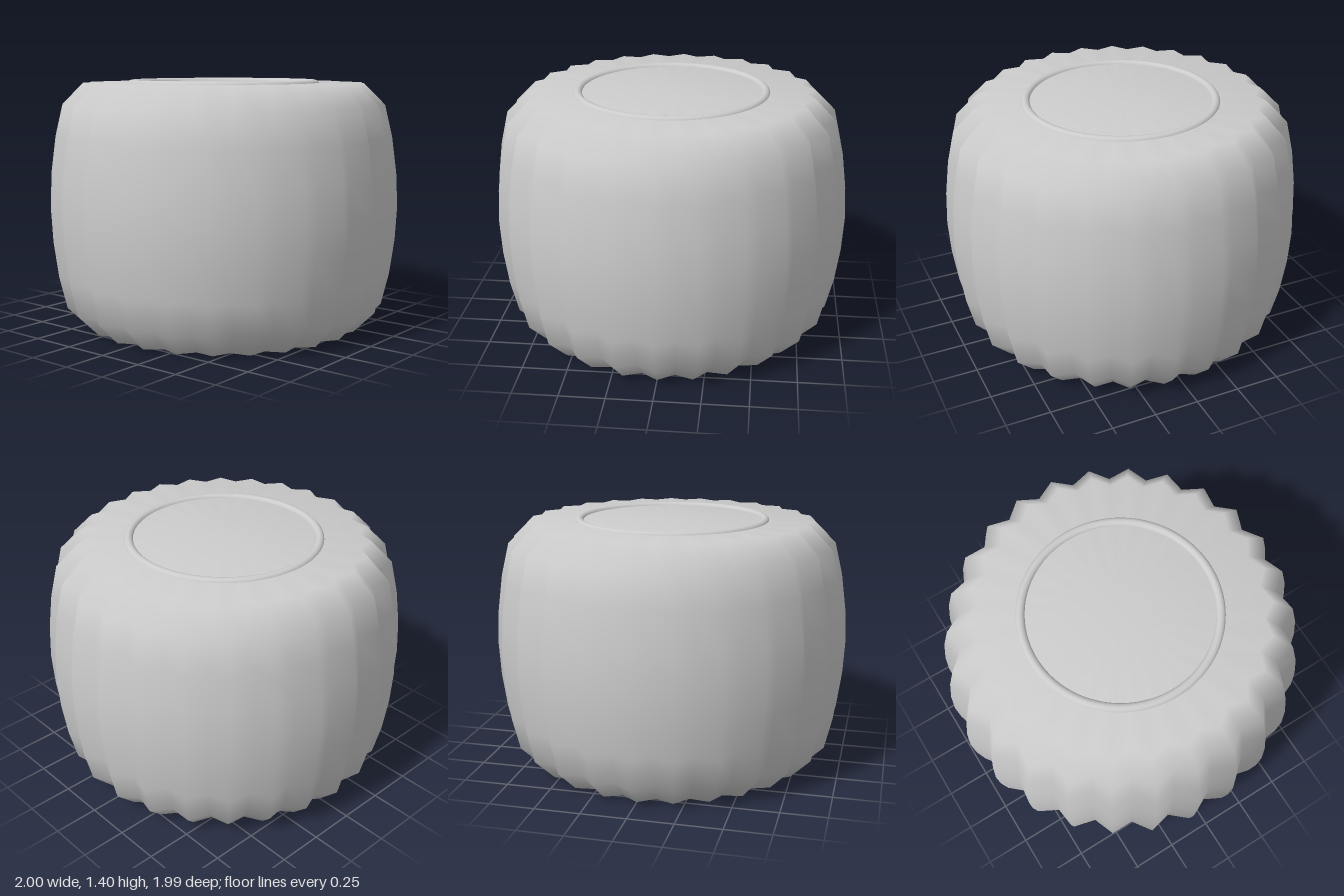
import * as THREE from 'three';
import { mergeVertices } from 'three/addons/utils/BufferGeometryUtils.js';

const RIDGES = 26;
const VALLEY = 0.93; // valley radius relative to ridge radius

// Barrel profile spun around y, with every other column pulled in to form flutes
function flutedBody() {
  const profile = [
    [0, 0], [0.8, 0], [0.92, 0.12], [0.963, 0.3], [0.99, 0.5], [1, 0.69],
    [0.99, 0.88], [0.963, 1.08], [0.92, 1.26], [0.8, 1.38], [0, 1.38],
  ].map(([r, y]) => new THREE.Vector2(r, y));
  const lathe = new THREE.LatheGeometry(profile, RIDGES * 2);
  const pos = lathe.attributes.position;
  for (let i = 0; i < pos.count; i++) {
    const column = Math.floor(i / profile.length);
    const k = column % 2 ? 1 : VALLEY;
    pos.setX(i, pos.getX(i) * k);
    pos.setZ(i, pos.getZ(i) * k);
  }
  // Weld the seam so the shading is smooth all the way round
  lathe.deleteAttribute('normal');
  lathe.deleteAttribute('uv');
  const body = mergeVertices(lathe, 1e-4);
  body.computeVertexNormals();
  return body;
}

export function createModel() {
  const group = new THREE.Group();
  group.name = 'flutedPouf';
  const grey = new THREE.MeshStandardMaterial({ color: 0xcccccc });
  grey.name = 'light grey';

  const body = new THREE.Mesh(flutedBody(), grey);
  body.name = 'flutedBody';
  group.add(body);

  // Piping ring half sunk into the top
  const ring = new THREE.Mesh(new THREE.TorusGeometry(0.522, 0.027, 12, 96), grey);
  ring.name = 'topRing';
  ring.rotation.x = -Math.PI / 2;
  ring.position.y = 1.37;
  group.add(ring);

  return group;
}
